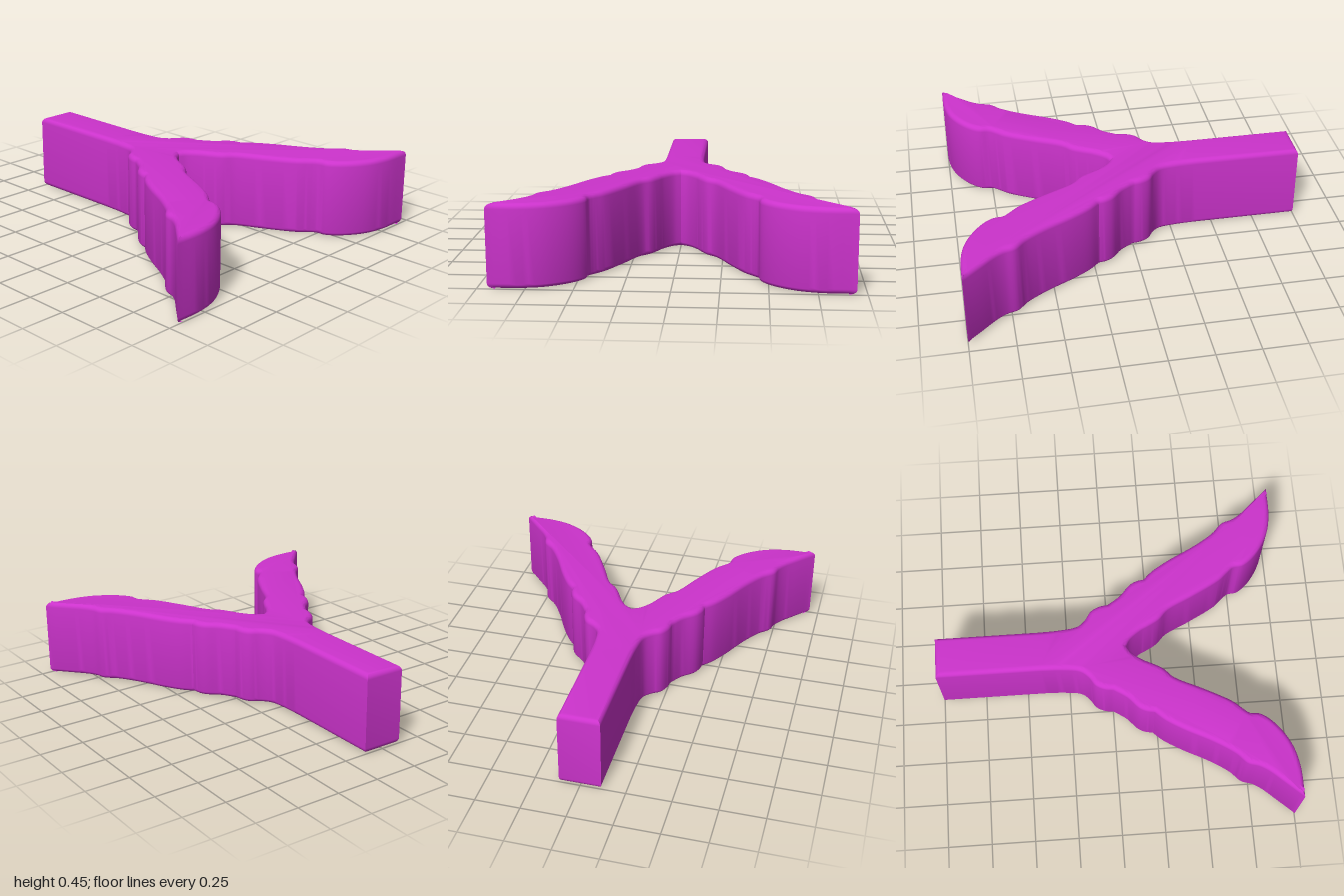
import * as THREE from 'three';
import { mergeVertices, toCreasedNormals } from 'three/addons/utils/BufferGeometryUtils.js';

const HEIGHT = 0.45, BEVEL = 0.03;

// Smooth run of [x, z] points
function smooth(points, count) {
  const curve = new THREE.CatmullRomCurve3(
    points.map(([x, z]) => new THREE.Vector3(x, 0, z)), false, 'centripetal');
  return curve.getPoints(count).map(p => [p.x, p.z]);
}

export function createModel() {
  const group = new THREE.Group();
  group.name = 'branchingBlock';

  // Left half: straight stem, scalloped outer side down to the tip
  const outer = [[0.117, -1], ...smooth([
    [0.117, -0.4], [0.122, -0.28], [0.138, -0.18], [0.175, -0.135], [0.225, -0.1], [0.252, -0.05], [0.26, 0],
  ], 28), ...smooth([
    [0.26, 0], [0.31, 0.075], [0.375, 0.135], [0.398, 0.18], [0.405, 0.22],
  ], 16).slice(1), ...smooth([
    [0.405, 0.22], [0.455, 0.275], [0.52, 0.38], [0.6, 0.535], [0.675, 0.65], [0.735, 0.71], [0.755, 0.77],
    [0.785, 0.82], [0.86, 0.905], [0.945, 1],
  ], 44).slice(1)];

  // Left half: inner side from the tip back to the crotch
  const inner = smooth([
    [0.945, 1], [0.77, 0.997], [0.64, 0.965], [0.52, 0.89], [0.455, 0.81], [0.445, 0.75],
    [0.415, 0.712], [0.37, 0.66], [0.28, 0.495], [0.205, 0.345], [0.15, 0.29], [0.115, 0.23],
    [0.09, 0.18], [0.04, 0.115], [0, 0.09],
  ], 64).slice(1);

  // Mirror to the right, skipping the shared crotch point
  const half = [...outer, ...inner];
  const mirrored = half.slice(0, -1).reverse().map(([x, z]) => [-x, z]);
  const shape = new THREE.Shape([...half, ...mirrored].map(([x, z]) => new THREE.Vector2(x, -z)));

  // Upright extrusion with rounded top and bottom rims
  let geometry = new THREE.ExtrudeGeometry(shape, {
    depth: HEIGHT - 2 * BEVEL, bevelEnabled: true, bevelThickness: BEVEL,
    bevelSize: BEVEL, bevelOffset: -BEVEL, bevelSegments: 6,
  });
  geometry.rotateX(-Math.PI / 2);
  geometry.translate(0, BEVEL, 0);
  geometry.deleteAttribute('uv');
  geometry.deleteAttribute('normal');
  geometry = toCreasedNormals(mergeVertices(geometry, 1e-5), 0.6);

  const body = new THREE.Mesh(geometry, new THREE.MeshStandardMaterial({ color: 0xcc33cc }));
  body.name = 'forkedBody';
  group.add(body);
  return group;
}
